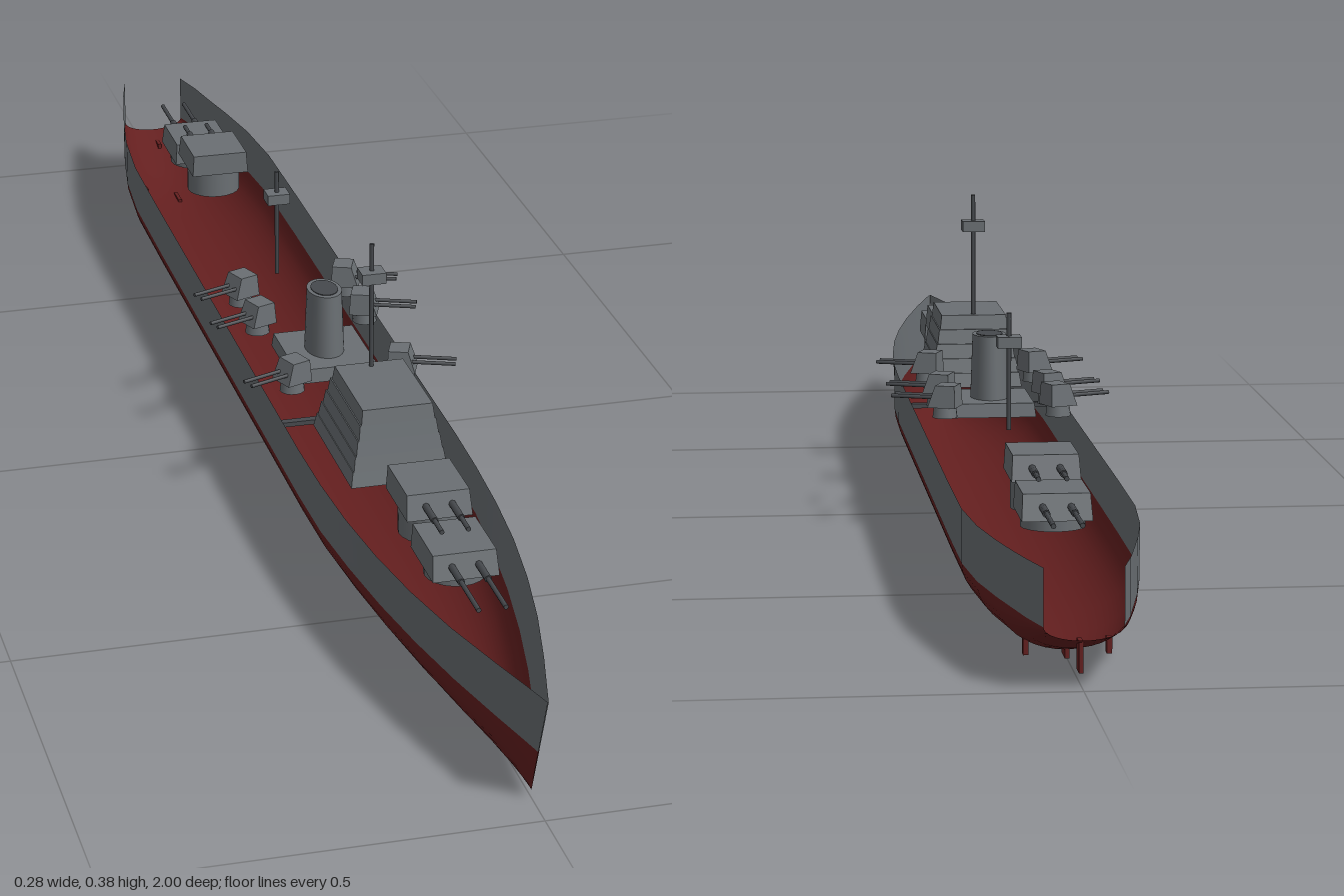
import * as THREE from 'three';

const grey = new THREE.MeshStandardMaterial({ color: 0x6a6f73, side: THREE.DoubleSide });
grey.name = 'ship grey';
const red = new THREE.MeshStandardMaterial({ color: 0x641f1f, side: THREE.DoubleSide });
red.name = 'hull red';
const dark = new THREE.MeshStandardMaterial({ color: 0x46494d });
dark.name = 'dark steel';

const WATERLINE = 0.07;

// hull stations: z, half width, keel height, rail height
const stations = [
  [-1, 0.043, 0.055, 0.134], [-0.95, 0.056, 0.04, 0.134], [-0.9, 0.066, 0.024, 0.133],
  [-0.84, 0.078, 0.009, 0.133], [-0.76, 0.091, 0.006, 0.133], [-0.66, 0.099, 0.005, 0.133],
  [-0.5, 0.1, 0.005, 0.133], [0, 0.1, 0.005, 0.133], [0.3, 0.1, 0.005, 0.133],
  [0.4, 0.098, 0.005, 0.133], [0.5, 0.093, 0.005, 0.134], [0.6, 0.084, 0.005, 0.136],
  [0.7, 0.07, 0.005, 0.138], [0.8, 0.051, 0.006, 0.141], [0.9, 0.027, 0.008, 0.145],
  [0.96, 0.011, 0.009, 0.147], [1, 0.0005, 0.01, 0.148],
];

// Lofts a strip through the stations; section(station) gives [x, y] points
function loft(section) {
  const pos = [], idx = [];
  let n = 0;
  for (const s of stations) {
    const pts = section(s);
    n = pts.length;
    const bow = Math.max(0, (s[0] - 0.6) / 0.4) ** 2;
    for (const [x, y] of pts) pos.push(x, y, s[0] - 0.055 * bow * (1 - y / 0.148)); // raked stem
  }
  for (let i = 0; i < stations.length - 1; i++) {
    for (let j = 0; j < n - 1; j++) {
      const a = i * n + j, b = a + n;
      idx.push(a, a + 1, b, b, a + 1, b + 1);
    }
  }
  const g = new THREE.BufferGeometry();
  g.setAttribute('position', new THREE.Float32BufferAttribute(pos, 3));
  g.setIndex(idx);
  g.computeVertexNormals();
  return g;
}

// The hull narrows a little at the waterline towards the bow
const waterWidth = ([z, w]) => w * (1 - 0.22 * Math.max(0, (z - 0.4) / 0.6));

function add(parent, name, geometry, material, x = 0, y = 0, z = 0) {
  const m = new THREE.Mesh(geometry, material);
  m.name = name;
  m.position.set(x, y, z);
  parent.add(m);
  return m;
}

// Box standing on y = 0 whose top is scaled and shifted along z
function taperBox(w, h, d, sx = 1, sz = 1, shift = 0) {
  const g = new THREE.BoxGeometry(w, h, d).translate(0, h / 2, 0);
  const p = g.attributes.position;
  for (let i = 0; i < p.count; i++) {
    if (p.getY(i) > h / 2) {
      p.setX(i, p.getX(i) * sx);
      p.setZ(i, p.getZ(i) * sz + shift);
    }
  }
  g.computeVertexNormals();
  return g;
}

const rod = (r, l) => new THREE.CylinderGeometry(r, r, l, 8);
const barrel = (r, l) => rod(r, l).rotateX(Math.PI / 2).translate(0, 0, l / 2);

// Main twin turret facing +z
function mainTurret(name, z, base, barbette, length) {
  const t = new THREE.Group();
  t.name = name;
  t.position.set(0, base, z);
  add(t, 'barbette', new THREE.CylinderGeometry(0.037, 0.037, barbette, 20), grey, 0, barbette / 2, 0);
  add(t, 'gunHouse', taperBox(0.08, 0.03, 0.094, 0.95, 0.9, -0.004), grey, 0, barbette, 0);
  for (const x of [-0.016, 0.016]) {
    add(t, 'gunSleeve', barrel(0.0045, 0.04), dark, x, barbette + 0.015, 0.04);
    add(t, 'gunBarrel', barrel(0.003, length), dark, x, barbette + 0.015, 0.04);
  }
  return t;
}

// Small twin mount facing +z before it is turned outboard
function sideGun(x, z) {
  const g = new THREE.Group();
  g.name = 'sideGun';
  g.position.set(x, 0.147, z);
  g.rotation.y = Math.sign(x) * 1.2;
  add(g, 'mount', new THREE.CylinderGeometry(0.014, 0.016, 0.016, 14), grey, 0, 0.008, 0);
  add(g, 'gunHouse', taperBox(0.036, 0.028, 0.036, 0.85, 0.7, -0.004), grey, 0, 0.014, 0);
  for (const s of [-0.008, 0.008]) add(g, 'gunBarrel', barrel(0.0025, 0.062), dark, s, 0.026, 0.006);
  return g;
}

function mast(name, z, bottom, top, boxY) {
  const g = new THREE.Group();
  g.name = name;
  add(g, 'pole', rod(0.003, top - bottom), dark, 0, (top + bottom) / 2, z);
  add(g, 'lookout', new THREE.BoxGeometry(0.03, 0.014, 0.026), grey, 0, boxY, z);
  return g;
}

export function createModel() {
  const ship = new THREE.Group();
  ship.name = 'warship';

  // Open hull shell: red below the waterline, grey above
  add(ship, 'lowerHull', loft((s) => {
    const pts = [], w = waterWidth(s);
    for (let i = -10; i <= 10; i++) {
      const a = (i / 10) * Math.PI / 2;
      pts.push([w * Math.sin(a), s[2] + (WATERLINE - s[2]) * (1 - Math.cos(a))]);
    }
    return pts;
  }), red);
  for (const side of [-1, 1]) {
    add(ship, side > 0 ? 'leftTopside' : 'rightTopside', loft((s) => {
      const pts = [];
      for (let i = 0; i <= 4; i++) {
        const t = side > 0 ? i / 4 : 1 - i / 4;
        const w = THREE.MathUtils.lerp(waterWidth(s), s[1], t);
        pts.push([side * w, THREE.MathUtils.lerp(WATERLINE, s[3], t)]);
      }
      return pts;
    }), grey);
  }
  add(ship, 'crossBeam', new THREE.BoxGeometry(0.196, 0.006, 0.01), dark, 0, 0.112, 0.18);

  // Rudder and shaft struts
  add(ship, 'rudder', new THREE.BoxGeometry(0.005, 0.034, 0.022), red, 0, 0.031, -0.965);
  add(ship, 'keelFin', new THREE.BoxGeometry(0.005, 0.012, 0.03), red, 0, 0.006, -0.83);
  for (const x of [-0.046, 0.046]) {
    add(ship, 'shaftStrut', new THREE.BoxGeometry(0.006, 0.018, 0.012), red, x, 0.015, -0.845);
  }

  // Main guns, two turrets at each end
  ship.add(mainTurret('foreTurret', 0.642, 0.125, 0.014, 0.11));
  ship.add(mainTurret('foreUpperTurret', 0.532, 0.125, 0.038, 0.07));
  const aft = new THREE.Group();
  aft.name = 'aftTurrets';
  aft.rotation.y = Math.PI;
  aft.add(mainTurret('aftTurret', 0.703, 0.12, 0.014, 0.11));
  aft.add(mainTurret('aftUpperTurret', 0.592, 0.12, 0.038, 0.07));
  ship.add(aft);

  // Stepped bridge tower
  for (let i = 0; i < 5; i++) {
    add(ship, 'bridgeTier', taperBox(0.124 - i * 0.008, 0.0188, 0.184 - i * 0.011, 0.95, 0.95),
      grey, 0, 0.128 + i * 0.0188, 0.318 + i * 0.002);
  }

  // Funnel on its deckhouse
  add(ship, 'funnelHouse', taperBox(0.11, 0.018, 0.126, 0.96, 0.96), grey, 0, 0.128, 0.042);
  const funnel = add(ship, 'funnel', new THREE.CylinderGeometry(0.022, 0.025, 0.085, 24), grey, 0, 0.1865, 0.04);
  const mouth = add(ship, 'funnelMouth', new THREE.CylinderGeometry(0.017, 0.017, 0.002, 24), dark, 0, 0.229, 0.04);
  funnel.scale.z = mouth.scale.z = 1.45;

  ship.add(mast('mainMast', 0.27, 0.2, 0.385, 0.343));
  ship.add(mast('aftMast', -0.212, 0.145, 0.292, 0.256));

  // Side guns in mirrored pairs
  for (const z of [0.157, -0.028, -0.122]) {
    for (const x of [-0.072, 0.072]) ship.add(sideGun(x, z));
  }
  return ship;
}
